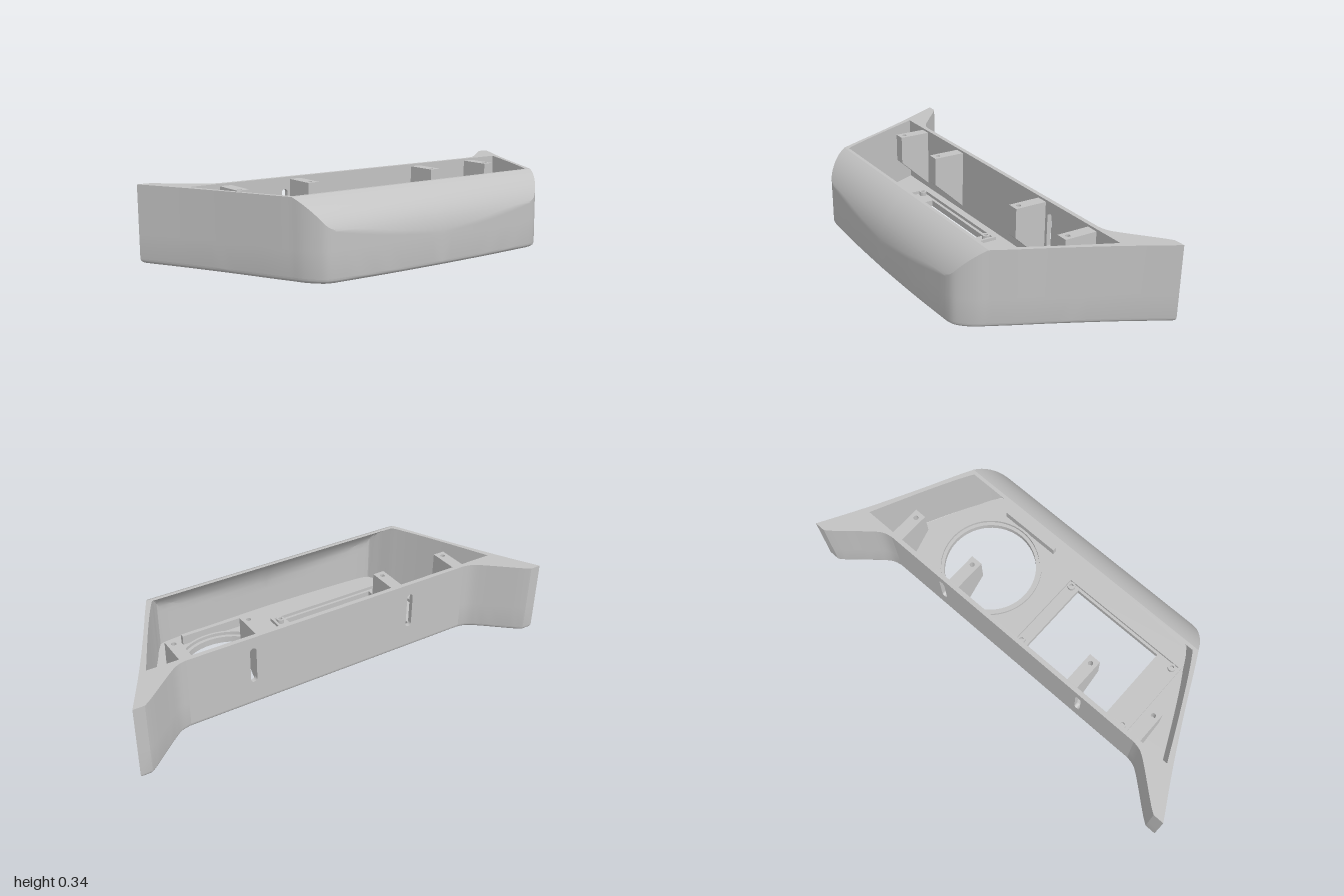
import * as THREE from 'three';
import { toCreasedNormals } from 'three/addons/utils/BufferGeometryUtils.js';

const TOP = 0.34, FLOOR = 0.03, FILLET = 0.02, BACK = -0.225, WALL = 0.021;
const V = (x, y) => new THREE.Vector2(x, y);
const spline = (pts, n) => new THREE.SplineCurve(pts.map(p => V(...p))).getPoints(n);

// Full loop from the +x half outline (x, z), back to front
const mirrorLoop = half =>
  [...half, ...half.filter(p => p.x > 1e-6).reverse().map(p => V(-p.x, p.y))];

// Rounded brow: the furthest forward z allowed at height y, and its inverse
const browZ = y => (y < 0.13 ? 0.4 : 0.17 + Math.sqrt(0.0529 - (y - 0.13) ** 2));
const browY = z => 0.13 + Math.sqrt(Math.max(0, 0.0529 - (z - 0.17) ** 2));

const outer = mirrorLoop([
  ...spline([[0.7, BACK], [0.745, -0.237], [0.8, -0.278], [0.91, -0.372], [0.95, -0.402]], 14),
  ...spline([[1, -0.402], [0.885, -0.195], [0.775, 0.02], [0.7, 0.175], [0.655, 0.264]], 16),
  ...spline([[0.655, 0.264], [0.635, 0.305], [0.605, 0.345], [0.57, 0.375], [0.53, 0.385]], 14).slice(1),
  ...spline([[0.53, 0.385], [0.27, 0.396], [0, 0.4]], 8).slice(1),
]);
const inner = mirrorLoop([
  V(0.7, BACK + WALL),
  ...spline([[0.86, BACK + WALL], [0.755, 0.02], [0.68, 0.17], [0.635, 0.25]], 10),
  ...spline([[0.635, 0.25], [0.59, 0.33], [0.54, 0.36], [0.27, 0.374], [0, 0.38]], 20).slice(1),
]);

// Loop moved inward by a distance, with mitred corners
function inset(loop, d) {
  const n = loop.length;
  const inward = (a, b) => V(a.y - b.y, b.x - a.x).normalize();
  return loop.map((p, i) => {
    const m = inward(loop[(i + n - 1) % n], p), k = inward(p, loop[(i + 1) % n]);
    return p.clone().addScaledVector(m.clone().add(k), d / (1 + m.dot(k)));
  });
}

// Wall surface through stacked loops; the flat back span is left out above openFrom
function wallSurface(levels, loopAt, openFrom, inward) {
  const pos = [];
  for (let k = 0; k + 1 < levels.length; k++) {
    const lo = loopAt(levels[k]), hi = loopAt(levels[k + 1]), n = lo.length;
    for (let i = 0; i < n; i++) {
      if (i === n - 1 && levels[k] >= openFrom - 1e-6) continue;
      const j = (i + 1) % n;
      const a = [lo[i].x, levels[k], lo[i].y], b = [lo[j].x, levels[k], lo[j].y];
      const c = [hi[i].x, levels[k + 1], hi[i].y], d = [hi[j].x, levels[k + 1], hi[j].y];
      const tris = lo[i].x > 1e-6 ? [[a, c, b], [b, c, d]] : [[a, d, b], [a, c, d]];
      for (const t of tris) pos.push(...(inward ? t.reverse() : t).flat());
    }
  }
  const g = new THREE.BufferGeometry();
  g.setAttribute('position', new THREE.Float32BufferAttribute(pos, 3));
  return toCreasedNormals(g, 0.42);
}

const clip = (loop, z) => loop.map(p => V(p.x, Math.min(p.y, z)));
const flip = pts => pts.map(p => V(p.x, -p.y));
const circle = (x, z, r, n = 64) => Array.from({ length: n }, (_, i) =>
  V(x + r * Math.cos(i / n * Math.PI * 2), z + r * Math.sin(i / n * Math.PI * 2)));
const rect = (x0, x1, z0, z1) => [V(x0, z0), V(x1, z0), V(x1, z1), V(x0, z1)];

function planShape(pts, holes = []) {
  const s = new THREE.Shape(flip(pts));
  s.holes = holes.map(h => new THREE.Path(flip(h)));
  return s;
}
// Horizontal plate with vertical holes, from height y up by h
function slab(pts, holes, y, h) {
  const g = new THREE.ExtrudeGeometry(planShape(pts, holes), { depth: h, bevelEnabled: false });
  return toCreasedNormals(g.rotateX(-Math.PI / 2).translate(0, y, 0), 0.5);
}

export function createModel() {
  const group = new THREE.Group();
  const grey = new THREE.MeshStandardMaterial({ color: 0xc2c2c2, side: THREE.DoubleSide });
  grey.name = 'grey plastic';
  const add = (name, geometry) => {
    const m = new THREE.Mesh(geometry, grey);
    m.name = name;
    group.add(m);
  };

  // Outer skin with rounded bottom edge and curved brow
  const filletLevels = [0, 1, 2, 3, 4, 5].map(i => FILLET * (1 - Math.cos(i / 5 * Math.PI / 2)));
  const browLevels = [...new Set(outer.filter(p => p.y > 0.266 && p.x >= 0)
    .map(p => +browY(p.y).toFixed(5)))].sort((a, b) => a - b);
  const levels = [...filletLevels, ...browLevels, TOP];
  const outerAt = y => {
    const d = y < FILLET - 1e-6 ? FILLET - Math.sqrt(FILLET ** 2 - (FILLET - y) ** 2) : 0;
    return clip(d > 0 ? inset(outer, d) : outer, browZ(y));
  };
  add('outerShell', wallSurface(levels, outerAt, FILLET, false));

  // Cavity walls and top rim
  const innerAt = y => clip(inner, browZ(y) - 0.016);
  const cavityLevels = [FLOOR, 0.13, 0.17, 0.2, 0.225, 0.25, 0.27, 0.29, 0.305, 0.32, 0.33, TOP];
  add('innerShell', wallSurface(cavityLevels, innerAt, 0, true));
  add('topRim', new THREE.ShapeGeometry(planShape(outerAt(TOP), [innerAt(TOP)]))
    .rotateX(-Math.PI / 2).translate(0, TOP, 0));

  // Floor with square and round openings
  const window = rect(-0.5, -0.02, -0.135, 0.23);
  add('floor', slab(inset(outer, FILLET), [window, circle(0.372, 0.045, 0.218)], 0, FLOOR));

  // Back wall with two upright slots
  const back = new THREE.Shape([V(-0.7, FILLET), V(0.7, FILLET), V(0.7, TOP), V(-0.7, TOP)]);
  for (const x of [-0.4, 0.4]) {
    const slot = new THREE.Path(), r = 0.015;
    slot.absarc(x, 0.272, r, 0, Math.PI);
    slot.absarc(x, 0.132, r, Math.PI, Math.PI * 2);
    slot.closePath();
    back.holes.push(slot);
  }
  add('backWall', new THREE.ExtrudeGeometry(back, { depth: WALL, bevelEnabled: false })
    .translate(0, 0, BACK));

  // Raised surrounds of the openings
  add('windowFrame', slab(rect(-0.625, 0.05, -0.163, 0.255),
    [rect(-0.612, 0.037, -0.15, 0.243)], FLOOR, 0.015));
  add('roundFrame', slab(circle(0.372, 0.045, 0.245), [circle(0.372, 0.045, 0.234)], FLOOR, 0.015));
  add('frontBlock', new THREE.BoxGeometry(0.3, 0.045, 0.02).translate(0.34, FLOOR + 0.0225, 0.302));
  for (const x of [-0.59, 0.015]) for (const z of [-0.13, 0.222])
    add('screwPost', slab(circle(x, z, 0.018, 20), [circle(x, z, 0.009, 16)], FLOOR, 0.02));

  // Screw brackets on the back wall: drilled block over a sloping gusset
  const z0 = BACK + WALL - 0.005, z1 = -0.053, w = 0.055;
  const gusset = new THREE.Shape([V(-z0, 0.05), V(-z0, 0.27), V(-z1, 0.27), V(-z1, 0.195)]);
  for (const x of [-0.69, -0.345, 0.342, 0.687]) {
    add('bracketBlock', slab(rect(x - w / 2, x + w / 2, z0, z1),
      [circle(x, -0.083, 0.011, 16)], 0.27, 0.06));
    add('bracketGusset', new THREE.ExtrudeGeometry(gusset, { depth: w, bevelEnabled: false })
      .rotateY(Math.PI / 2).translate(x - w / 2, 0, 0));
  }
  return group;
}
